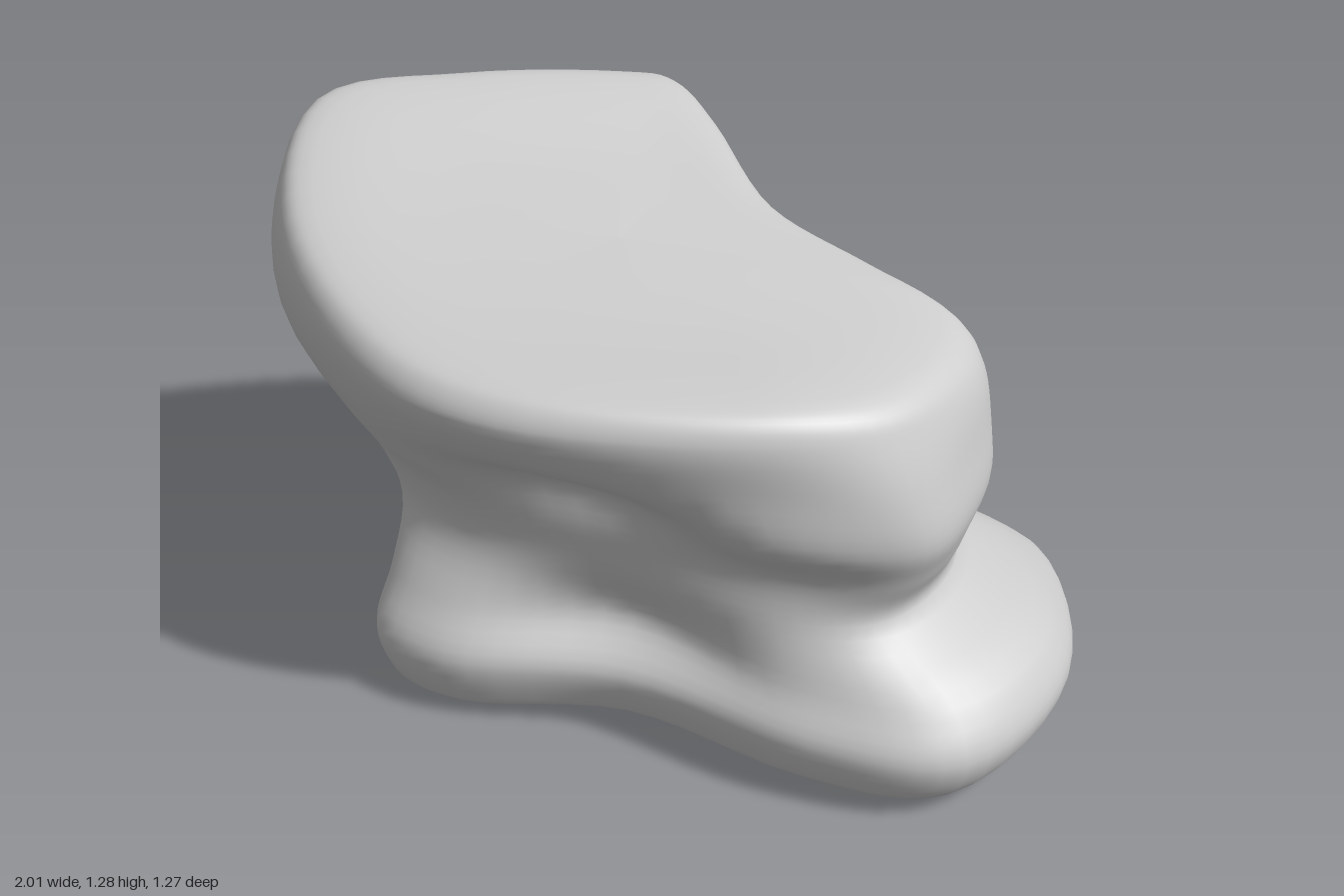
import * as THREE from 'three';

// Each cross-section: nominal height, then a ring of [x, z] running
// left-tip, rear lobe, back notch, right lobe, front, front corner.
const base = [[-.47, .12], [-.43, -.2], [-.385, -.53], [-.3, -.635], [-.13, -.6], [.2, -.41], [.45, -.52],
  [.77, -.565], [1, -.2], [.93, .22], [.6, .36], [.12, .37], [-.28, .52], [-.52, .455]];
const ankle = [[-.48, .1], [-.41, -.15], [-.37, -.43], [-.3, -.56], [-.13, -.53], [.18, -.36], [.42, -.45],
  [.69, -.5], [.94, -.2], [.87, .18], [.53, .31], [.1, .28], [-.28, .45], [-.51, .39]];
const waist = [[-.55, .08], [-.43, -.12], [-.38, -.32], [-.3, -.42], [-.14, -.39], [.18, -.3], [.4, -.32],
  [.6, -.33], [.72, -.12], [.68, .14], [.47, .28], [.08, .32], [-.28, .39], [-.52, .32]];
const bulge = [[-.67, .07], [-.52, -.15], [-.39, -.34], [-.29, -.41], [-.12, -.38], [.18, -.27], [.4, -.27],
  [.66, -.27], [.75, -.08], [.71, .15], [.46, .28], [.08, .34], [-.3, .41], [-.58, .32]];
const recess = [[-.88, .05], [-.67, -.2], [-.42, -.42], [-.28, -.48], [-.12, -.44], [.15, -.28], [.42, -.27],
  [.71, -.27], [.78, -.05], [.74, .18], [.45, .37], [.05, .36], [-.33, .485], [-.7, .34]];
const flare = [[-1, .02], [-.73, -.26], [-.43, -.51], [-.29, -.57], [-.13, -.52], [.12, -.34], [.42, -.3],
  [.7, -.28], [.76, -.05], [.71, .2], [.41, .41], [-.02, .545], [-.38, .56], [-.8, .36]];
const rim = [[-.965, .01], [-.73, -.27], [-.43, -.53], [-.3, -.6], [-.14, -.53], [.12, -.35], [.42, -.31],
  [.68, -.27], [.73, -.06], [.66, .2], [.4, .43], [-.03, .61], [-.39, .595], [-.79, .36]];

const inset = (ring, s, cx, cz) => ring.map(([x, z]) => [cx + (x - cx) * s, cz + (z - cz) * s]);
const low = s => inset(base, s, .1, -.02);
const high = s => inset(rim, s, -.1, 0);

const sections = [
  [0, low(0)], [0, low(.45)], [0, low(.9)], [.04, low(.955)],
  [.17, base], [.3, ankle], [.45, waist], [.58, bulge], [.72, recess], [.88, flare], [1.03, rim],
  [1.09, high(.96)], [1.11, high(.88)], [1.11, high(.45)], [1.11, high(0)],
];

// Gently arched underside and tilted top plateau that drops at its right edge
const floorY = (x, z) => .07 - .1 * (x - .3) ** 2 - .025 * z;
const topTilt = (x, z) => -.01 - .16 * x - .1 * z + .04 * x * x + .18 * x * z - .6 * Math.max(0, x - .45) ** 2;

function place(level, [x, z]) {
  const lift = floorY(x, z) * Math.max(0, 1 - level / .3);
  return new THREE.Vector3(x, level + lift + (level / 1.11) ** 2 * topTilt(x, z), z);
}

function loft(around, perSpan) {
  // Smooth every ring, then smooth each column through the rings
  const rings = sections.map(([level, ring]) => {
    const n = ring.length;
    const at = k => ring[(k + n) % n];
    const step = around / n;
    return Array.from({ length: around }, (_, i) => {
      const k = Math.floor(i / step), t = i / step - k;
      const mix = c => {
        const [a, b, d, e] = [at(k - 1)[c], at(k)[c], at(k + 1)[c], at(k + 2)[c]];
        return b + .5 * t * (d - a + t * (2 * a - 5 * b + 4 * d - e + t * (3 * (b - d) + e - a)));
      };
      return place(level, [mix(0), mix(1)]);
    });
  });
  const rows = (sections.length - 1) * perSpan;
  const pos = [], index = [];
  const columns = Array.from({ length: around }, (_, i) => new THREE.CatmullRomCurve3(rings.map(r => r[i])));
  for (let j = 0; j <= rows; j++) {
    for (let i = 0; i < around; i++) {
      pos.push(...columns[i].getPoint(j / rows).toArray());
      if (j === rows) continue;
      const a = j * around + i, b = j * around + (i + 1) % around;
      index.push(a, a + around, b, b, a + around, b + around);
    }
  }
  const geo = new THREE.BufferGeometry();
  geo.setAttribute('position', new THREE.Float32BufferAttribute(pos, 3));
  geo.setIndex(index);
  // Stand on the ground, centred
  geo.computeBoundingBox();
  const { min, max } = geo.boundingBox;
  geo.translate(-(min.x + max.x) / 2, -min.y, -(min.z + max.z) / 2);
  geo.computeVertexNormals();
  return geo;
}

export function createModel() {
  const group = new THREE.Group();
  const body = new THREE.Mesh(loft(84, 5), new THREE.MeshStandardMaterial({ color: 0xcccccc }));
  body.name = 'boneBody';
  group.add(body);
  return group;
}
